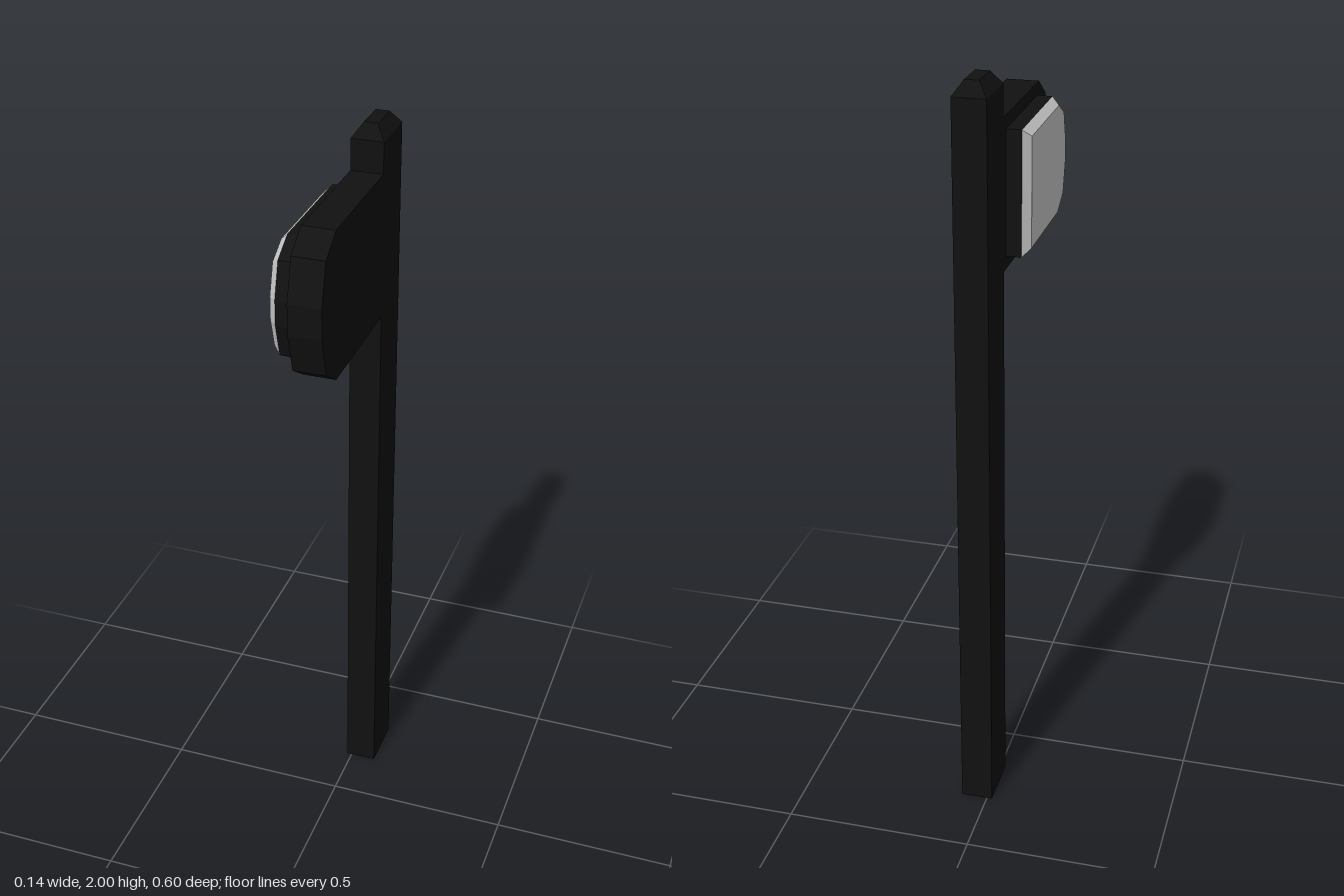
import * as THREE from 'three';

const dark = new THREE.MeshStandardMaterial({ color: 0x111111, flatShading: true });
const pale = new THREE.MeshStandardMaterial({ color: 0xcccccc, flatShading: true });

const MID_Y = 1.69;

// Slab with a square back edge and a faceted, rounded front edge.
// half: upper half of the outline as [z, height above the middle].
// It runs from x = start towards -x by depth.
function slab(half, start, depth) {
  const upper = half.map(([z, h]) => new THREE.Vector2(z, h));
  const lower = half.map(([z, h]) => new THREE.Vector2(z, -h)).reverse();
  const geometry = new THREE.ExtrudeGeometry(new THREE.Shape([...upper, ...lower]), {
    depth, bevelEnabled: false,
  });
  geometry.rotateY(-Math.PI / 2);
  geometry.translate(start, MID_Y, 0);
  return geometry;
}

// Move the vertices of a geometry by a rule
function reshape(geometry, rule) {
  const p = geometry.attributes.position;
  const v = new THREE.Vector3();
  for (let i = 0; i < p.count; i++) {
    rule(v.fromBufferAttribute(p, i));
    p.setXYZ(i, v.x, v.y, v.z);
  }
  geometry.computeVertexNormals();
  return geometry;
}

export function createModel() {
  const group = new THREE.Group();
  const add = (name, geometry, material) => {
    const mesh = new THREE.Mesh(geometry, material);
    mesh.name = name;
    group.add(mesh);
  };

  // Square post whose top is chamfered on all four sides
  const post = reshape(new THREE.BoxGeometry(0.085, 2, 0.148, 1, 2, 1), (v) => {
    if (v.y > 0.5) {
      v.x *= 0.42;
      v.z *= 0.62;
    } else if (v.y > -0.5) {
      v.y = 0.965;
    }
  });
  post.translate(0.0285, 1, -0.226);
  add('post', post, dark);

  // Thick arm panel reaching forward from the post
  const armOutline = [[-0.152, 0.193], [0.2, 0.193], [0.27, 0.147], [0.3, 0.04]];
  add('armPanel', slab(armOutline, 0.071, 0.085), dark);

  // Smaller raised backing on the right face of the arm
  const padOutline = [[-0.13, 0.16], [0.185, 0.16], [0.25, 0.122], [0.275, 0.033]];
  add('padBacking', slab(padOutline, -0.014, 0.039), dark);

  // Pale pad that tapers to its outer face
  const padCentre = 0.0725;
  const pad = reshape(slab(padOutline, -0.053, 0.02), (v) => {
    if (v.x < -0.06) {
      v.y = MID_Y + (v.y - MID_Y) * 0.88;
      v.z = padCentre + (v.z - padCentre) * 0.9;
    }
  });
  add('pad', pad, pale);

  return group;
}
